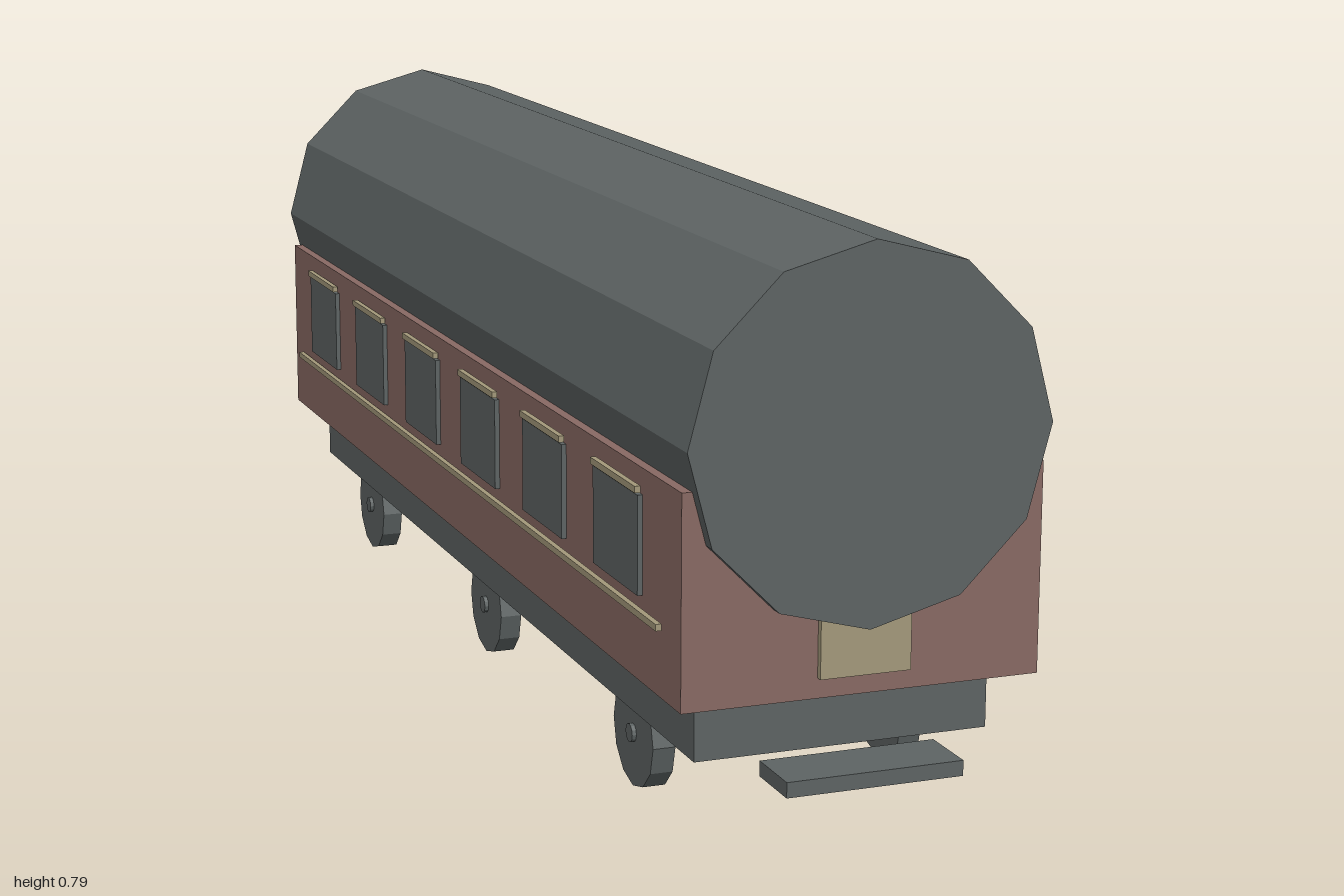
import * as THREE from 'three';

function material(name, color) {
  const m = new THREE.MeshStandardMaterial({ color, flatShading: true });
  m.name = name;
  return m;
}

export function createModel() {
  const grey = material('slateGrey', 0x5d6363);
  const maroon = material('dustyMaroon', 0x886963);
  const gold = material('paleGold', 0xa3987a);
  const model = new THREE.Group();
  model.name = 'railwayCarriage';

  // Box given by its lower and upper corners
  function box(name, mat, [x0, y0, z0], [x1, y1, z1], parent = model) {
    const mesh = new THREE.Mesh(new THREE.BoxGeometry(x1 - x0, y1 - y0, z1 - z0), mat);
    mesh.position.set((x0 + x1) / 2, (y0 + y1) / 2, (z0 + z1) / 2);
    mesh.name = name;
    parent.add(mesh);
    return mesh;
  }

  // Twelve-sided cylinder lying along x or z
  function drum(name, radius, length, axis, x, y, z, parent = model) {
    const geo = new THREE.CylinderGeometry(radius, radius, length, 12);
    if (axis === 'x') geo.rotateZ(Math.PI / 2);
    else geo.rotateX(Math.PI / 2);
    const mesh = new THREE.Mesh(geo, grey);
    mesh.position.set(x, y, z);
    mesh.name = name;
    parent.add(mesh);
    return mesh;
  }

  // Main masses
  box('body', maroon, [-0.249, 0.203, -0.955], [0.249, 0.488, 0.955]);
  box('chassis', grey, [-0.207, 0.115, -0.895], [0.207, 0.183, 0.895]);
  drum('roof', 0.25, 1.95, 'z', 0, 0.543, 0);

  // End doors and steps
  for (const s of [1, -1]) {
    const end = new THREE.Group();
    end.name = s > 0 ? 'frontEnd' : 'backEnd';
    end.rotation.y = s > 0 ? 0 : Math.PI;
    box('door', gold, [-0.063, 0.23, 0.955], [0.063, 0.45, 0.964], end);
    box('step', grey, [-0.123, 0.092, 0.912], [0.123, 0.113, 1], end);
    model.add(end);
  }

  // Side details: windows, ledges, trim strip and wheels
  for (const s of [1, -1]) {
    const side = new THREE.Group();
    side.name = s > 0 ? 'leftSide' : 'rightSide';
    side.rotation.y = s > 0 ? 0 : Math.PI;
    for (let i = 0; i < 6; i++) {
      const z = (i - 2.5) * 0.294;
      box('window', grey, [0.248, 0.32, z - 0.084], [0.256, 0.453, z + 0.084], side);
      box('windowLedge', gold, [0.252, 0.456, z - 0.084], [0.26, 0.465, z + 0.084], side);
    }
    box('trimStrip', gold, [0.252, 0.295, -0.895], [0.26, 0.304, 0.895], side);
    for (const z of [-0.65, 0, 0.65]) {
      drum('wheel', 0.076, 0.032, 'x', 0.182, 0.076, z, side);
      drum('wheelHub', 0.013, 0.046, 'x', 0.181, 0.076, z, side);
    }
    model.add(side);
  }
  return model;
}
